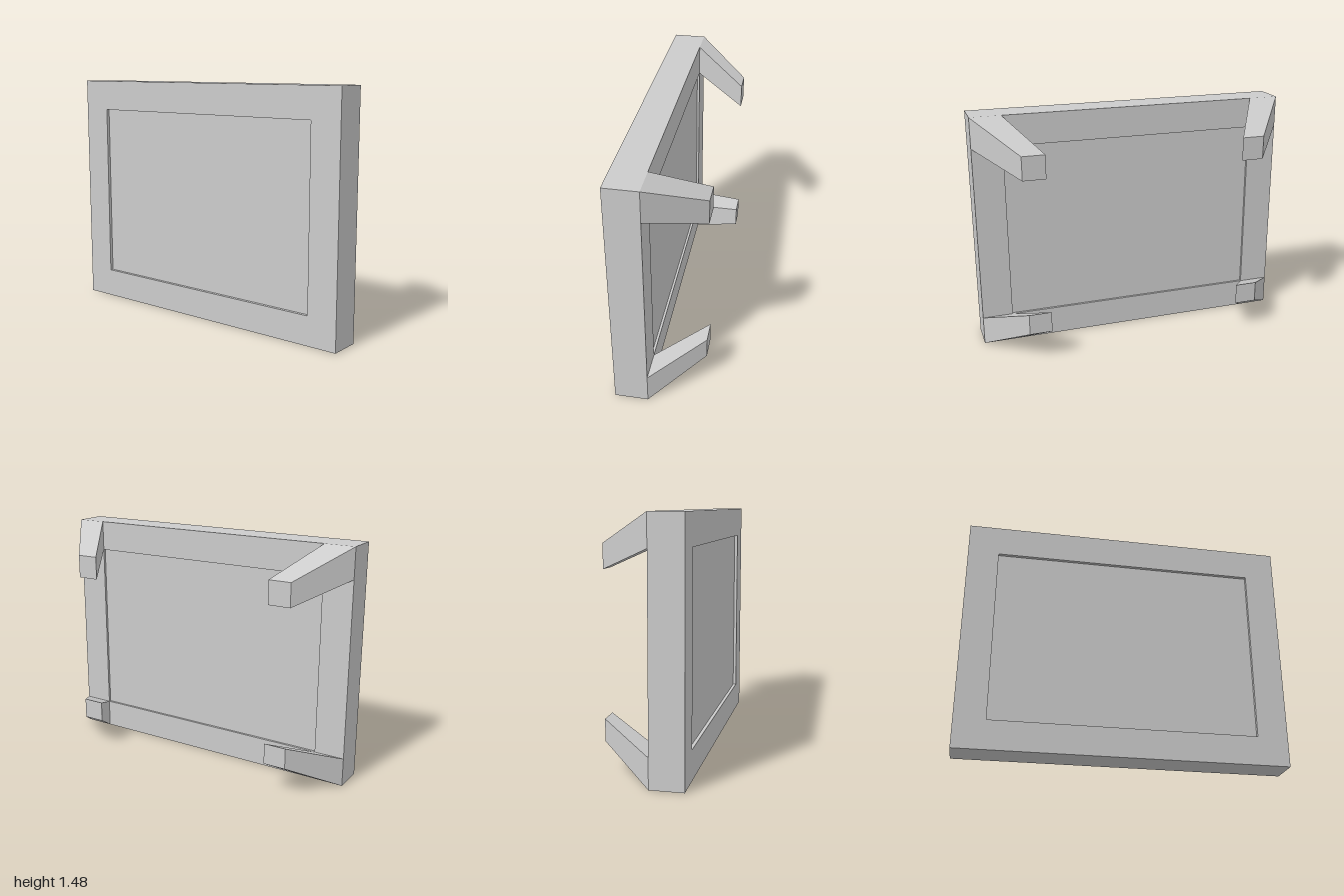
import * as THREE from 'three';

const BACK = -0.26, FRONT = -0.06, TIP = 0.255; // depth stations along x
const HEIGHT = 1.48, OPEN_LOW = 0.18, OPEN_HIGH = 1.29, OPEN_Z = 0.81;

export function createModel() {
  const group = new THREE.Group();
  const material = new THREE.MeshStandardMaterial({ color: 0xcccccc, flatShading: true });

  const add = (name, geometry) => {
    const mesh = new THREE.Mesh(geometry, material);
    mesh.name = name;
    group.add(mesh);
    return mesh;
  };

  const rectangle = (target, halfWidth, low, high) => {
    target.moveTo(-halfWidth, low);
    target.lineTo(halfWidth, low);
    target.lineTo(halfWidth, high);
    target.lineTo(-halfWidth, high);
    target.closePath();
    return target;
  };

  // Rectangular frame around the opening, extruded along x
  const outline = rectangle(new THREE.Shape(), 1, 0, HEIGHT);
  outline.holes.push(rectangle(new THREE.Path(), OPEN_Z, OPEN_LOW, OPEN_HIGH));
  const frame = new THREE.ExtrudeGeometry(outline, { depth: FRONT - BACK, bevelEnabled: false });
  frame.rotateY(Math.PI / 2);
  frame.translate(BACK, 0, 0);
  add('frame', frame);

  // Panel set slightly back from both faces of the frame
  const panelBack = BACK + 0.02, panelFront = FRONT - 0.015;
  const panel = add('panel', new THREE.BoxGeometry(panelFront - panelBack, OPEN_HIGH - OPEN_LOW, 2 * OPEN_Z));
  panel.position.set((panelBack + panelFront) / 2, (OPEN_LOW + OPEN_HIGH) / 2, 0);

  // Corner arm: a box whose ends are moved to the frame corner and to the smaller inner tip
  const arm = (upper, side) => {
    const geometry = new THREE.BoxGeometry(2, 2, 2);
    const p = geometry.attributes.position;
    const baseY = upper ? [OPEN_HIGH, HEIGHT] : [0, OPEN_LOW];
    const tipY = upper ? [1.16, 1.305] : [0.18, 0.31];
    for (let i = 0; i < p.count; i++) {
      const atTip = p.getX(i) > 0;
      const y = (atTip ? tipY : baseY)[p.getY(i) > 0 ? 1 : 0];
      const outer = p.getZ(i) * side > 0;
      const z = atTip ? (outer ? 0.76 : 0.62) : (outer ? 1 : OPEN_Z);
      p.setXYZ(i, atTip ? TIP : FRONT, y, z * side);
    }
    geometry.computeVertexNormals();
    return geometry;
  };
  for (const upper of [true, false]) {
    for (const side of [1, -1]) {
      add(`${upper ? 'upper' : 'lower'}${side > 0 ? 'Front' : 'Back'}Arm`, arm(upper, side));
    }
  }

  return group;
}
